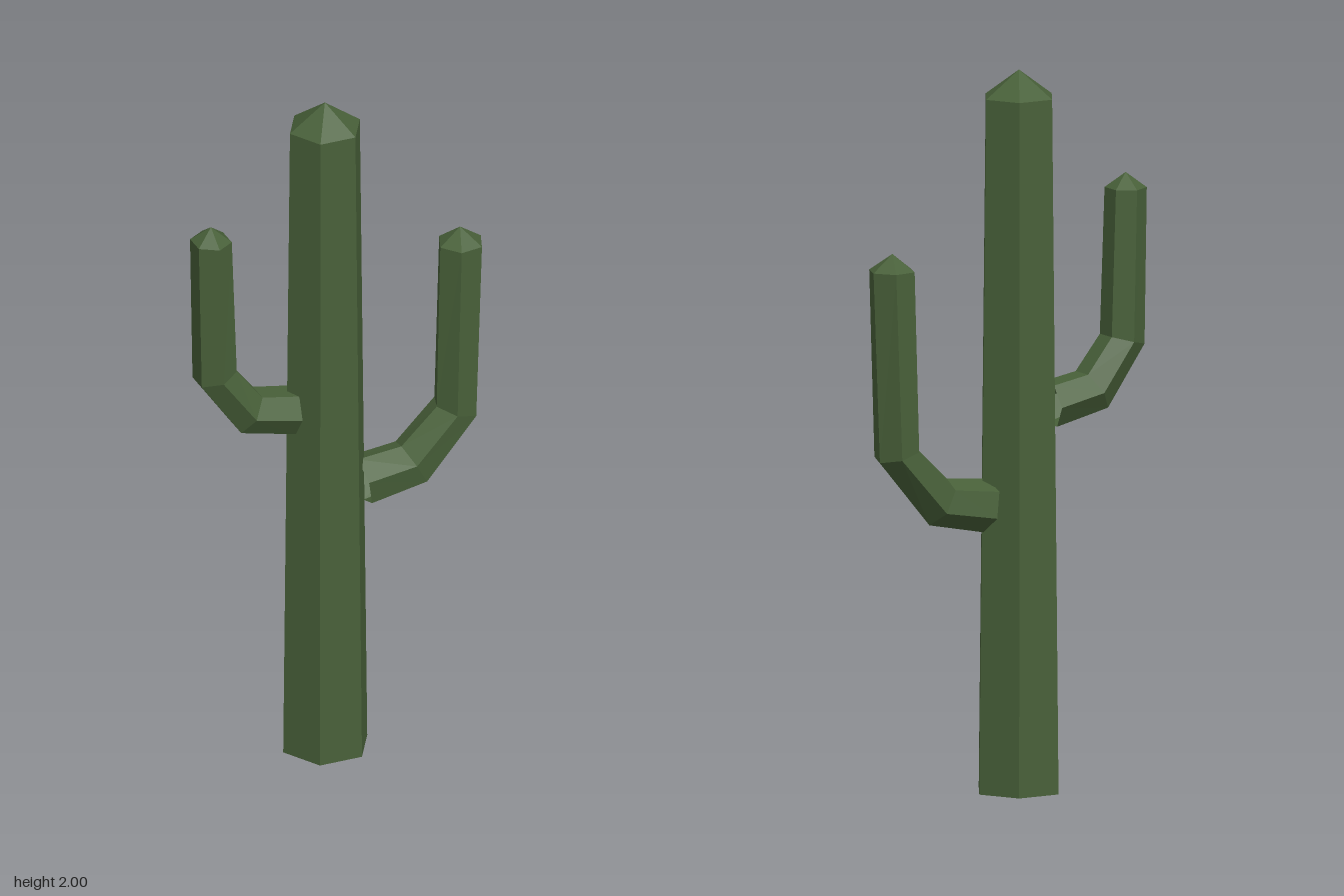
import * as THREE from 'three';

const SIDES = 6;

// Six-sided limb lofted through cross-sections [innerX, innerY, outerX, outerY, depthRadius],
// closed by a low pyramid at the tip. phase turns the hexagon, side is -1 for limbs growing to -x.
function limb(name, material, sections, tip, phase = 0, side = 1) {
  const fit = Math.abs(phase - Math.PI / 6) < 0.01 ? 1 / Math.cos(Math.PI / 6) : 1;
  const rings = sections.map(([ix, iy, ox, oy, depth]) => {
    const centre = new THREE.Vector3((ix + ox) / 2, (iy + oy) / 2, 0);
    const inward = new THREE.Vector3(ix - ox, iy - oy, 0).multiplyScalar(fit / 2);
    return Array.from({ length: SIDES }, (_, k) => {
      const a = phase + (k / SIDES) * Math.PI * 2;
      const p = centre.clone().addScaledVector(inward, Math.cos(a));
      p.z = side * depth * Math.sin(a);
      return p;
    });
  });
  const apex = new THREE.Vector3(tip[0], tip[1], 0);
  const points = [];
  const face = (a, b, c) => points.push(...(side > 0 ? [a, b, c] : [a, c, b]));
  for (let k = 0; k < SIDES; k++) {
    const n = (k + 1) % SIDES;
    for (let i = 0; i < rings.length - 1; i++) {
      const lo = rings[i], hi = rings[i + 1];
      face(lo[k], lo[n], hi[n]);
      face(lo[k], hi[n], hi[k]);
    }
    const rim = rings[rings.length - 1];
    face(rim[k], rim[n], apex);
  }
  const geometry = new THREE.BufferGeometry().setFromPoints(points);
  geometry.computeVertexNormals();
  const mesh = new THREE.Mesh(geometry, material);
  mesh.name = name;
  return mesh;
}

export function createModel() {
  const group = new THREE.Group();
  group.name = 'cactus';
  const green = new THREE.MeshStandardMaterial({
    color: 0x486039, flatShading: true, side: THREE.DoubleSide,
  });
  green.name = 'cactus green';

  // Tapered trunk, open underneath
  group.add(limb('trunk', green, [
    [-0.166, 0, 0.084, 0, 0.125],
    [-0.146, 1.925, 0.062, 1.925, 0.104],
  ], [-0.042, 2]));

  // Lower, thicker arm
  group.add(limb('leftArm', green, [
    [0.05, 0.873, 0.078, 0.728, 0.076],
    [0.18, 0.885, 0.25, 0.763, 0.074],
    [0.285, 0.985, 0.407, 0.95, 0.071],
    [0.296, 1.478, 0.427, 1.478, 0.067],
  ], [0.36, 1.525], THREE.MathUtils.degToRad(9)));

  // Higher, thinner arm
  group.add(limb('rightArm', green, [
    [-0.133, 1.12, -0.143, 1.005, 0.069],
    [-0.242, 1.14, -0.305, 1.043, 0.067],
    [-0.318, 1.237, -0.422, 1.21, 0.064],
    [-0.332, 1.643, -0.43, 1.643, 0.061],
  ], [-0.381, 1.685], Math.PI / 6, -1));

  return group;
}
